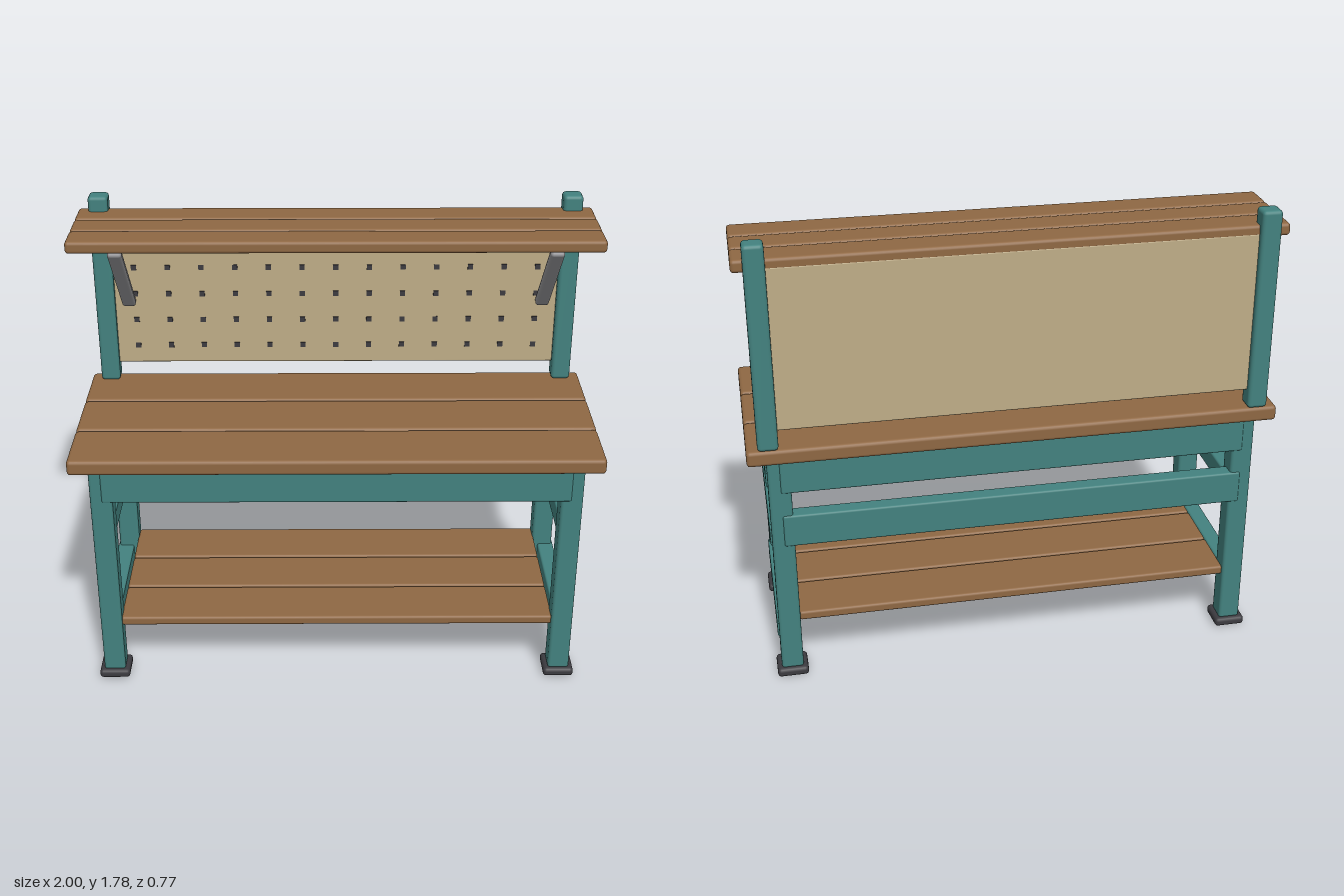
import * as THREE from 'three';
import { RoundedBoxGeometry } from 'three/addons/geometries/RoundedBoxGeometry.js';

function material(name, color) {
  const m = new THREE.MeshStandardMaterial({ color });
  m.name = name;
  return m;
}

export function createModel() {
  const model = new THREE.Group();
  model.name = 'workbench';
  const teal = material('teal paint', 0x43827f);
  const wood = material('brown wood', 0x8f6843);
  const board = material('tan pegboard', 0xbfad87);
  const steel = material('grey steel', 0x97979a);
  const dark = material('dark rubber', 0x3c3b40);

  // box with softened edges, given by its min and max corners
  function block(name, mat, [x0, x1], [y0, y1], [z0, z1], bevel = 0.01, parent = model) {
    const geo = new RoundedBoxGeometry(x1 - x0, y1 - y0, z1 - z0, 2, bevel);
    const mesh = new THREE.Mesh(geo, mat);
    mesh.name = name;
    mesh.position.set((x0 + x1) / 2, (y0 + y1) / 2, (z0 + z1) / 2);
    parent.add(mesh);
    return mesh;
  }

  // three planks side by side, with a thin backing that closes the grooves
  function planks(name, halfX, [y0, y1], [z0, z1], bevel, gap) {
    const group = new THREE.Group();
    group.name = name;
    model.add(group);
    const w = (z1 - z0) / 3;
    for (let i = 0; i < 3; i++) {
      const a = z0 + i * w + (i > 0 ? gap / 2 : 0);
      const b = z0 + (i + 1) * w - (i < 2 ? gap / 2 : 0);
      block('plank', wood, [-halfX, halfX], [y0, y1], [a, b], bevel, group);
    }
    const backing = new THREE.Mesh(
      new THREE.BoxGeometry(2 * halfX - 0.01, (y1 - y0) * 0.6, z1 - z0 - 0.03), wood);
    backing.name = 'backing';
    backing.position.set(0, y0 + (y1 - y0) * 0.3, (z0 + z1) / 2);
    group.add(backing);
  }

  planks('worktop', 1, [0.94, 1.0], [-0.383, 0.387], 0.014, 0.006);
  planks('topShelf', 1, [1.675, 1.722], [-0.36, 0.03], 0.013, 0.006);
  planks('lowerShelf', 0.85, [0.235, 0.272], [-0.335, 0.335], 0.01, 0.008);

  for (const s of [-1, 1]) {
    const span = (a, b) => (s > 0 ? [a, b] : [-b, -a]);

    // legs and feet
    for (const t of [-1, 1]) {
      const z = t * 0.306;
      block('leg', teal, span(0.846, 0.93), [0.03, 0.945], [z - 0.043, z + 0.043], 0.012);
      block('foot', dark, span(0.828, 0.948), [0, 0.036], [z - 0.06, z + 0.06], 0.014);
    }

    // side rails
    for (const y of [[0.81, 0.94], [0.56, 0.645], [0.15, 0.235]])
      block('sideRail', teal, span(0.87, 0.936), y, [-0.305, 0.305], 0.008);

    // rear post
    block('post', teal, span(0.882, 0.958), [1.0, 1.78], [-0.385, -0.309], 0.014);

    // diagonal shelf brace
    const brace = block('shelfBrace', steel, span(0.798, 0.852), [-0.228, 0.228], [-0.018, 0.018], 0.012);
    brace.position.set(s * 0.825, 1.5, -0.173);
    brace.rotation.x = Math.atan2(0.31, 0.33);
  }

  // long rails
  block('frontRail', teal, [-0.885, 0.885], [0.805, 0.94], [0.29, 0.354], 0.008);
  block('backRail', teal, [-0.885, 0.885], [0.805, 0.94], [-0.354, -0.29], 0.008);
  block('backStretcher', teal, [-0.885, 0.885], [0.58, 0.71], [-0.354, -0.29], 0.008);

  // pegboard with rows of small square holes
  block('pegboard', board, [-0.885, 0.885], [1.07, 1.69], [-0.361, -0.337], 0.006);
  const holes = new THREE.Group();
  holes.name = 'pegHoles';
  const holeGeo = new THREE.BoxGeometry(0.021, 0.021, 0.006);
  for (let row = 0; row < 5; row++) {
    for (let col = 0; col < 13; col++) {
      const hole = new THREE.Mesh(holeGeo, dark);
      hole.name = 'pegHole';
      hole.position.set((col - 6) * 0.1335, 1.147 + row * 0.1115, -0.336);
      holes.add(hole);
    }
  }
  model.add(holes);

  return model;
}
